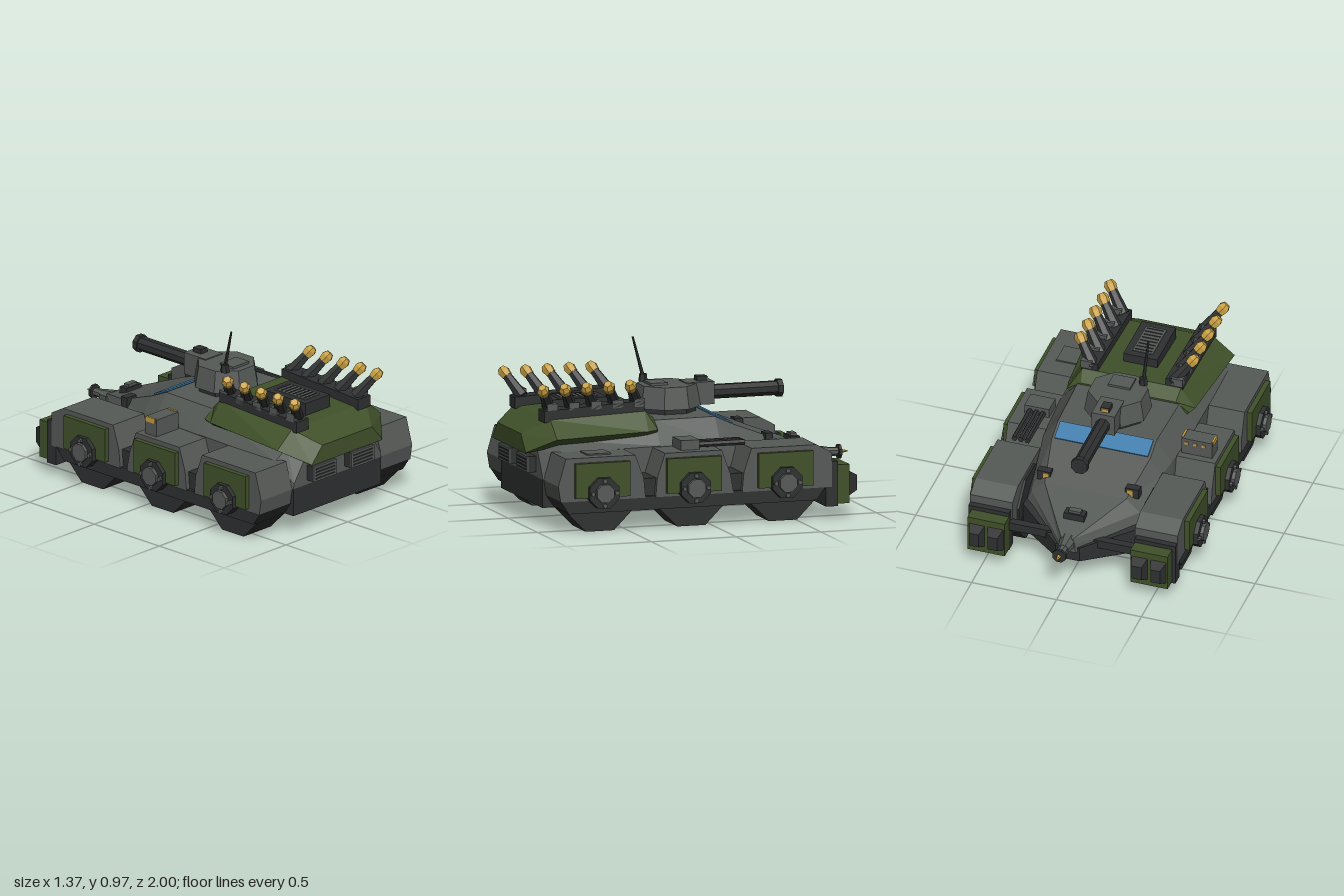
import * as THREE from 'three';

const mat = (name, color) => Object.assign(new THREE.MeshStandardMaterial({ color, flatShading: true }), { name });

export function createModel() {
  const grey = mat('armour grey', 0x565a57), dark = mat('dark metal', 0x2f3031);
  const green = mat('green plating', 0x40512a), gold = mat('gold', 0xc79f42), blue = mat('window blue', 0x3f7cab);
  const model = new THREE.Group();
  model.name = 'armouredVehicle';

  const add = (name, geo, m, x = 0, y = 0, z = 0) => {
    const mesh = new THREE.Mesh(geo, m);
    mesh.name = name;
    mesh.position.set(x, y, z);
    model.add(mesh);
    return mesh;
  };
  // box given by its limits on each axis
  const box = (name, m, x0, x1, y0, y1, z0, z1) =>
    add(name, new THREE.BoxGeometry(Math.abs(x1 - x0), y1 - y0, z1 - z0), m, (x0 + x1) / 2, (y0 + y1) / 2, (z0 + z1) / 2);
  // prism along an axis, with a flat side down
  const prism = (axis, r0, r1, len, n = 8) => {
    const g = new THREE.CylinderGeometry(r0, r1, len, n, 1, false, Math.PI / n);
    if (axis === 'x') g.rotateZ(Math.PI / 2);
    if (axis === 'z') g.rotateX(-Math.PI / 2); // r0 faces -z
    return g;
  };
  // side profile of [z, y] points, extruded across x
  const profile = (pts, width) => {
    const shape = new THREE.Shape(pts.map(([z, y]) => new THREE.Vector2(-z, y)));
    return new THREE.ExtrudeGeometry(shape, { depth: width, bevelEnabled: false }).rotateY(Math.PI / 2).translate(-width / 2, 0, 0);
  };
  // skin over sections [z, [half x, y]...], ordered front to back
  const loft = (sections) => {
    const rings = sections.map(([z, ...half]) => [
      ...half.map(([x, y]) => [x, y, z]),
      ...half.slice().reverse().map(([x, y]) => [-x, y, z])]);
    const out = [], n = rings[0].length, last = rings[rings.length - 1];
    for (let s = 0; s < rings.length - 1; s++) {
      for (let i = 0; i < n; i++) {
        const j = (i + 1) % n, a = rings[s][i], b = rings[s][j], c = rings[s + 1][i], d = rings[s + 1][j];
        out.push(...a, ...c, ...b, ...b, ...c, ...d);
      }
    }
    for (let i = 1; i < n - 1; i++) {
      out.push(...rings[0][0], ...rings[0][i], ...rings[0][i + 1]);
      out.push(...last[0], ...last[i + 1], ...last[i]);
    }
    const g = new THREE.BufferGeometry();
    g.setAttribute('position', new THREE.Float32BufferAttribute(out, 3));
    g.computeVertexNormals();
    return g;
  };

  // hull
  add('lowerHull', loft([
    [0.92, [0.355, 0.11], [0.355, 0.27]],
    [-0.55, [0.355, 0.11], [0.355, 0.27]],
    [-0.81, [0.07, 0.15], [0.07, 0.24]]]), dark);
  add('upperHull', loft([
    [0.92, [0.355, 0.27], [0.35, 0.3], [0.27, 0.42]],
    [0.82, [0.4, 0.27], [0.4, 0.42], [0.3, 0.48]],
    [0.24, [0.4, 0.27], [0.4, 0.43], [0.3, 0.56]],
    [-0.12, [0.39, 0.27], [0.38, 0.43], [0.29, 0.56]],
    [-0.23, [0.38, 0.27], [0.36, 0.41], [0.29, 0.51]],
    [-0.5, [0.35, 0.25], [0.32, 0.33], [0.24, 0.405]],
    [-0.82, [0.05, 0.21], [0.045, 0.27], [0.035, 0.3]]]), grey);
  const glass = box('windscreen', blue, -0.275, 0.275, -0.004, 0.004, -0.055, 0.055);
  glass.position.set(0, 0.54, -0.178);
  glass.rotation.x = -Math.atan2(0.05, 0.11);
  box('crossBar', dark, -0.42, 0.42, 0.21, 0.26, -0.735, -0.69);
  box('noseSight', dark, -0.06, 0.06, 0.33, 0.38, -0.7, -0.645);
  box('noseSightTop', grey, -0.035, 0.035, 0.38, 0.395, -0.69, -0.655);

  // front grilles
  for (const s of [-1, 1]) {
    box('grilleBox', dark, s * 0.06, s * 0.245, 0.295, 0.385, 0.9, 0.965);
    box('grilleFace', grey, s * 0.06, s * 0.245, 0.295, 0.385, 0.965, 0.973);
    for (let i = 0; i < 4; i++) box('grilleSlat', dark, s * 0.075, s * 0.23, 0.307 + i * 0.019, 0.315 + i * 0.019, 0.973, 0.977);
  }

  // green engine canopy
  add('canopy', loft([
    [0.995, [0.28, 0.41], [0.285, 0.415], [0.2, 0.51]],
    [0.855, [0.3, 0.435], [0.418, 0.5], [0.3, 0.595]],
    [0.3, [0.34, 0.48], [0.375, 0.51], [0.29, 0.628]],
    [0.24, [0.34, 0.495], [0.36, 0.515], [0.28, 0.57]]]), green);
  box('ventFrame', dark, -0.1, 0.1, 0.59, 0.672, 0.45, 0.77);
  box('ventCore', grey, -0.06, 0.06, 0.67, 0.677, 0.49, 0.73);
  for (let i = 0; i < 8; i++) box('ventSlat', dark, -0.05, 0.05, 0.676, 0.68, 0.505 + i * 0.029, 0.513 + i * 0.029);

  for (const s of [-1, 1]) {
    // rocket rails and angled rockets
    add('rocketRail', profile([[0.89, 0.58], [0.89, 0.645], [0.3, 0.675], [0.3, 0.6]], 0.1), dark, s * 0.25);
    const dir = new THREE.Vector3(s * 0.11, 0.14, 0.08).normalize();
    for (let i = 0; i < 5; i++) {
      const z = 0.325 + i * 0.129, rocket = new THREE.Group();
      box('rocketMount', grey, s * 0.235, s * 0.3, 0.64, 0.685, z - 0.03, z + 0.03);
      const part = (name, r0, r1, len, m, at) => {
        const mesh = new THREE.Mesh(new THREE.CylinderGeometry(r0, r1, len, 6), m);
        mesh.name = name;
        mesh.position.y = at;
        rocket.add(mesh);
      };
      part('rocketTube', 0.027, 0.037, 0.15, dark, 0.065);
      part('rocketCollar', 0.036, 0.03, 0.035, gold, 0.152);
      part('rocketTip', 0.022, 0.036, 0.025, gold, 0.182);
      rocket.name = 'rocket';
      rocket.position.set(s * 0.24, 0.65, z);
      rocket.quaternion.setFromUnitVectors(new THREE.Vector3(0, 1, 0), dir);
      model.add(rocket);
    }

    // side skirts, wheel pods, wheels and hubs
    add('skirt', profile([[0.9, 0.185], [0.85, 0.11], [-0.61, 0.11], [-0.67, 0.19]], 0.26), dark, s * 0.475);
    const pods = [
      [[0.9, 0.18], [0.915, 0.27], [0.87, 0.425], [0.46, 0.425], [0.41, 0.29], [0.4, 0.18]],
      [[0.34, 0.18], [0.33, 0.29], [0.285, 0.425], [-0.05, 0.425], [-0.1, 0.29], [-0.12, 0.18]],
      [[-0.17, 0.18], [-0.18, 0.29], [-0.225, 0.425], [-0.61, 0.425], [-0.7, 0.375], [-0.7, 0.18]]];
    const centres = [0.66, 0.12, -0.42];
    pods.forEach((p, i) => {
      const z = centres[i];
      add('wheelPod', profile(p, 0.25), grey, s * 0.486);
      box('sidePanel', green, s * 0.6, s * 0.64, 0.2, 0.397, z - 0.16, z + 0.16);
      add('wheel', prism('x', 0.217, 0.217, 0.22), dark, s * 0.458, 0.2, z - 0.005);
      add('hub', prism('x', 0.093, 0.093, 0.06), dark, s * 0.635, 0.228, z);
      add('hubCap', prism('x', 0.055, 0.055, 0.05), grey, s * 0.66, 0.228, z);
      for (let k = 0; k < 4; k++) {
        const a = k * Math.PI / 2;
        add('hubBolt', prism('x', 0.013, 0.013, 0.02, 6), grey, s * 0.67, 0.228 + 0.07 * Math.cos(a), z + 0.07 * Math.sin(a));
      }
    });
    for (const z of [0.37, -0.145]) box('podLink', dark, s * 0.36, s * 0.585, 0.15, 0.285, z - 0.045, z + 0.045);

    // rear bumper blocks
    box('bumperBracket', dark, s * 0.37, s * 0.61, 0.07, 0.325, -0.735, -0.665);
    box('bumperBlock', green, s * 0.37, s * 0.59, 0.08, 0.3, -0.81, -0.735);
    for (const x of [0.425, 0.535]) {
      const stud = add('bumperStud', new THREE.CylinderGeometry(0.04, 0.066, 0.055, 4, 1, false, Math.PI / 4).rotateX(-Math.PI / 2), dark, s * x, 0.19, -0.837);
      stud.scale.y = 1.5;
    }

    // headlamps on the sloped deck
    box('lampBody', dark, s * 0.22, s * 0.3, 0.39, 0.45, -0.46, -0.415);
    box('lampLens', gold, s * 0.23, s * 0.265, 0.4, 0.442, -0.467, -0.46);
  }
  box('podHatch', grey, 0.42, 0.54, 0.42, 0.433, 0.58, 0.72);

  // stowage box with gold markers
  box('stowageBox', grey, -0.58, -0.4, 0.42, 0.525, -0.01, 0.08);
  for (const x of [-0.578, -0.402]) box('boxMarker', gold, x - 0.006, x + 0.006, 0.5, 0.53, 0, 0.07);
  for (let i = 0; i < 3; i++) box('boxStud', gold, -0.54 + i * 0.05, -0.52 + i * 0.05, 0.49, 0.505, -0.016, -0.01);

  // side gun
  box('sideGunBody', grey, 0.405, 0.55, 0.42, 0.48, 0.06, 0.17);
  for (const x of [0.44, 0.478, 0.516]) add('sideGunBarrel', prism('z', 0.017, 0.017, 0.28, 6), dark, x, 0.447, -0.075);

  // turret
  add('turretRing', prism('y', 0.165, 0.165, 0.05), dark, 0, 0.57, 0.065);
  add('turret', prism('y', 0.168, 0.19, 0.125), grey, 0, 0.65, 0.065);
  box('turretHatch', grey, -0.065, 0.065, 0.71, 0.726, 0.08, 0.18);
  box('mantlet', grey, -0.068, 0.068, 0.59, 0.718, -0.195, -0.03);
  box('turretSight', dark, -0.026, 0.026, 0.715, 0.745, -0.165, -0.105);
  box('sightLens', gold, -0.02, 0.02, 0.72, 0.74, -0.172, -0.165);
  add('cannon', prism('z', 0.042, 0.042, 0.4), dark, 0, 0.65, -0.39);
  add('muzzle', prism('z', 0.052, 0.052, 0.03), dark, 0, 0.65, -0.595);
  add('antennaBase', prism('y', 0.022, 0.026, 0.045, 6), dark, -0.115, 0.73, 0.165);
  const antenna = add('antenna', new THREE.CylinderGeometry(0.006, 0.011, 0.235, 6), dark, -0.12, 0.85, 0.194);
  antenna.rotation.set(0.25, 0, 0.04);

  // nose gun
  add('noseGunMount', prism('z', 0.035, 0.05, 0.09), grey, 0, 0.265, -0.84);
  add('noseGunBarrel', prism('z', 0.024, 0.028, 0.08), grey, 0, 0.27, -0.91);
  add('noseGunRing', prism('z', 0.042, 0.042, 0.016), dark, 0, 0.27, -0.95);
  add('noseGunTip', prism('z', 0.004, 0.013, 0.045, 6), gold, 0, 0.27, -0.978);
  return model;
}
